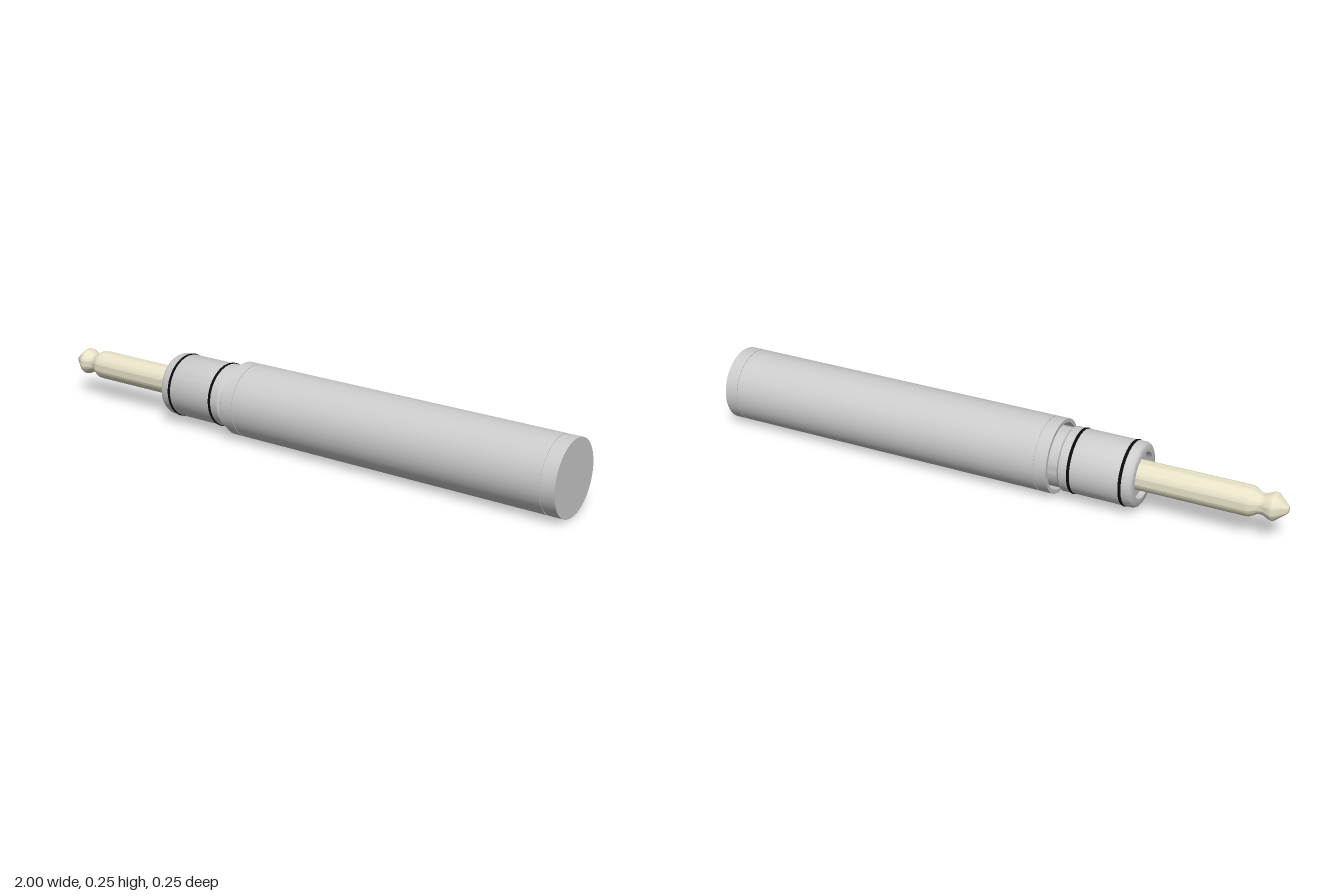
import * as THREE from 'three';
import { toCreasedNormals } from 'three/addons/utils/BufferGeometryUtils.js';

const RADIUS = 0.126;

export function createModel() {
  const model = new THREE.Group();
  model.name = 'audioPlug';

  const metal = new THREE.MeshStandardMaterial({ color: 0xcccccc });
  const brass = new THREE.MeshStandardMaterial({ color: 0xe8e2c8 });
  const rubber = new THREE.MeshStandardMaterial({ color: 0x0a0a0a });

  // Turned part along the x axis; profile is [x, radius] from tip to tail
  function turned(name, profile, material) {
    const points = profile.map(([x, r]) => new THREE.Vector2(r, x));
    const lathe = new THREE.LatheGeometry(points, 64);
    lathe.rotateZ(-Math.PI / 2);
    const mesh = new THREE.Mesh(toCreasedNormals(lathe, 0.6), material);
    mesh.name = name;
    mesh.position.y = RADIUS;
    model.add(mesh);
  }

  // Contact pin with pointed tip, waist and straight shaft
  turned('contactPin', [
    [-1, 0], [-0.998, 0.01], [-0.99, 0.018], [-0.96, 0.043], [-0.953, 0.046], [-0.944, 0.045],
    [-0.925, 0.036], [-0.915, 0.034], [-0.905, 0.035], [-0.895, 0.041],
    [-0.88, 0.049], [-0.868, 0.05], [-0.48, 0.05], [-0.48, 0],
  ], brass);

  // Collar with a recessed face around the pin, and the narrower neck behind it
  turned('collar', [
    [-0.5, 0.045], [-0.5, 0.078], [-0.52, 0.078], [-0.52, 0.098], [-0.516, 0.104],
    [-0.508, 0.108], [-0.27, 0.108], [-0.262, 0.101], [-0.18, 0.101],
  ], metal);

  // Rubber sealing rings
  for (const x of [-0.48, -0.303]) {
    const ring = new THREE.Mesh(new THREE.TorusGeometry(0.103, 0.0075, 12, 64), rubber);
    ring.name = 'sealRing';
    ring.rotation.y = Math.PI / 2;
    ring.position.set(x, RADIUS, 0);
    model.add(ring);
  }

  // Front rim, open around the neck
  turned('frontRim', [
    [-0.195, 0.095], [-0.195, 0.113], [-0.235, 0.113], [-0.235, RADIUS], [-0.193, RADIUS],
  ], metal);

  // Long handle sleeve, with fine grooves at the joints
  turned('handleSleeve', [
    [-0.193, RADIUS], [-0.193, 0.124], [-0.19, 0.124], [-0.19, RADIUS],
    [0.95, RADIUS], [0.95, 0.124], [0.953, 0.124], [0.953, RADIUS],
  ], metal);

  // Closed end cap
  turned('endCap', [[0.953, RADIUS], [1, RADIUS], [1, 0]], metal);

  return model;
}
